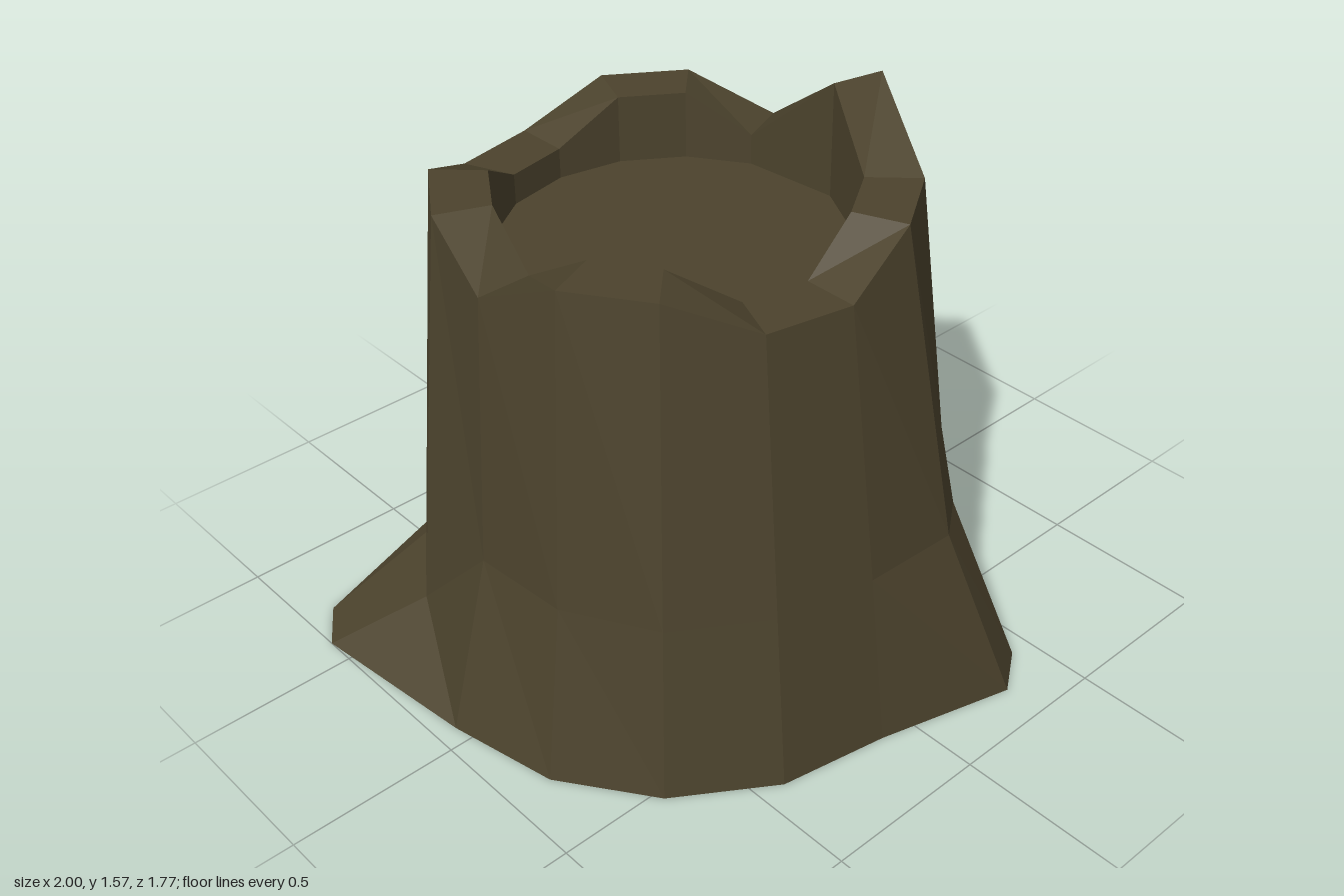
import * as THREE from 'three';

// One row per column round the trunk, starting at the back and turning towards +x:
// [rim angle, rim height, foot x, foot z, flare x, flare y, flare z]
const COLUMNS = [
  [0, 1.32, -0.1, -0.89, -0.1, 0.3, -0.72],
  [22.5, 1.43, 0.21, -0.83, 0.18, 0.52, -0.76],
  [45, 1.43, 0.82, -0.64, 0.59, 0.33, -0.53],
  [67.5, 1.32, 1.0, -0.38, 0.75, 0.35, -0.28],
  [102, 1.57, 0.72, -0.06, 0.66, 0.52, -0.03],
  [102, 1.57, 0.66, 0.26, 0.61, 0.52, 0.2],
  [135, 1.43, 0.48, 0.53, 0.43, 0.52, 0.48],
  [157.5, 1.43, 0.43, 0.79, 0.31, 0.52, 0.62],
  [157.5, 1.43, 0.3, 0.88, 0.19, 0.52, 0.71],
  [180, 1.32, -0.1, 0.77, -0.1, 0.52, 0.7],
  [202.5, 1.32, -0.42, 0.71, -0.39, 0.52, 0.64],
  [225, 1.43, -0.69, 0.53, -0.64, 0.52, 0.48],
  [247.5, 1.43, -0.87, 0.27, -0.78, 0.52, 0.23],
  [270, 1.32, -0.94, -0.06, -0.8, 0.52, -0.06],
  [292.5, 1.43, -1.0, -0.59, -0.81, 0.22, -0.35],
  [315, 1.43, -0.91, -0.72, -0.64, 0.22, -0.59],
  [337.5, 1.32, -0.42, -0.83, -0.4, 0.28, -0.65],
];
const CENTRE_X = -0.105, CENTRE_Z = -0.055, FLOOR_Y = 1.23;

// Point on a circle round the trunk's axis
function onCircle(degrees, radius, y) {
  const a = THREE.MathUtils.degToRad(degrees);
  return new THREE.Vector3(CENTRE_X + radius * Math.sin(a), y, CENTRE_Z - radius * Math.cos(a));
}

function facets(triangles) {
  const points = [];
  for (const [a, b, c] of triangles) {
    // Leave out triangles collapsed where two columns share a rim point
    const ab = b.clone().sub(a), ac = c.clone().sub(a);
    if (ab.cross(ac).length() > 1e-6) points.push(a, b, c);
  }
  const geometry = new THREE.BufferGeometry().setFromPoints(points);
  geometry.computeVertexNormals();
  return geometry;
}

// Skin the band between two rings
function band(low, high) {
  const triangles = [];
  for (let i = 0; i < low.length; i++) {
    const j = (i + 1) % low.length;
    triangles.push([low[j], low[i], high[j]], [low[i], high[i], high[j]]);
  }
  return facets(triangles);
}

// Close a ring with a flat fan facing up
function cap(ring) {
  const centre = new THREE.Vector3(CENTRE_X, ring[0].y, CENTRE_Z);
  return facets(ring.map((p, i) => [centre, ring[(i + 1) % ring.length], p]));
}

export function createModel() {
  const group = new THREE.Group();
  group.name = 'treeStump';
  // The shell is open underneath, so its inside shows too
  const wood = new THREE.MeshStandardMaterial({ color: 0x4c432d, side: THREE.DoubleSide, flatShading: true });
  wood.name = 'darkWood';

  const foot = COLUMNS.map(c => new THREE.Vector3(c[2], 0, c[3]));
  const flare = COLUMNS.map(c => new THREE.Vector3(c[4], c[5], c[6]));
  const rimOuter = COLUMNS.map(c => onCircle(c[0], 0.647, c[1]));
  const rimInner = COLUMNS.map(c => onCircle(c[0], 0.49, c[1]));
  const floor = COLUMNS.map(c => onCircle(c[0], 0.49, FLOOR_Y));

  const add = (name, geometry) => {
    const mesh = new THREE.Mesh(geometry, wood);
    mesh.name = name;
    group.add(mesh);
  };
  add('roots', band(foot, flare));
  add('trunk', band(flare, rimOuter));
  add('jaggedRim', band(rimOuter, rimInner));
  add('hollowWall', band(rimInner, floor));
  add('cutTop', cap(floor));
  return group;
}
